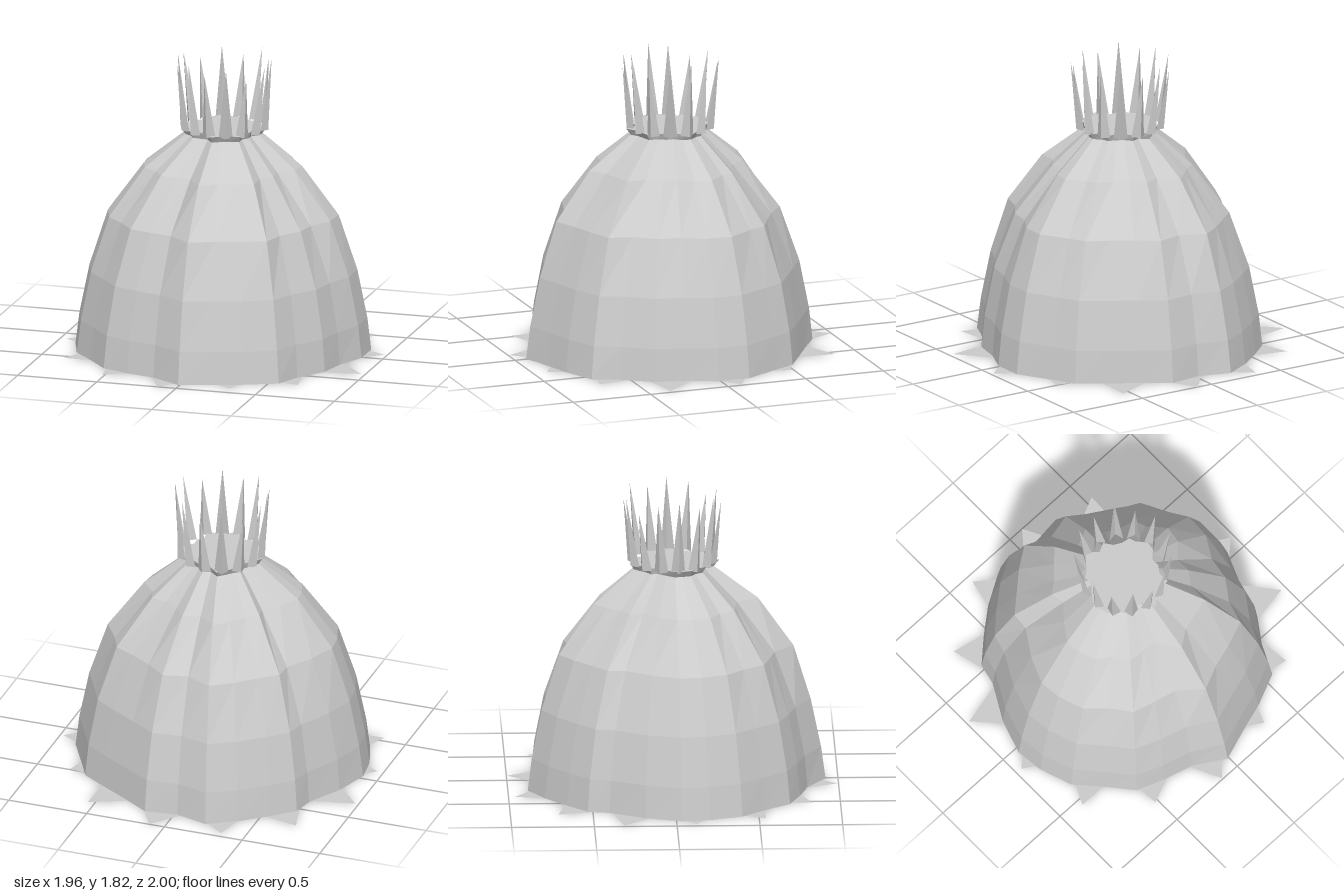
import * as THREE from 'three';

// Pleated outline of the dome at ground level, as [x, z] pairs
const outline = [
  [-0.22, -0.88], [-0.02, -0.825], [0.18, -0.85], [0.35, -0.74], [0.53, -0.63], [0.68, -0.535], [0.75, -0.4],
  [0.87, -0.185], [0.87, 0.015], [0.79, 0.2], [0.75, 0.38], [0.63, 0.555], [0.56, 0.715], [0.36, 0.805],
  [0.18, 0.86], [-0.01, 0.925], [-0.2, 0.81], [-0.38, 0.76], [-0.55, 0.695], [-0.68, 0.54], [-0.81, 0.4],
  [-0.88, 0.2], [-0.9, 0.03], [-0.83, -0.185], [-0.71, -0.4], [-0.68, -0.53], [-0.55, -0.65], [-0.39, -0.78],
];
const count = outline.length;
const meanRadius = 0.864;

// Tips of the flat star under the dome; the crown repeats the same directions
const starTips = [
  [-0.35, -0.96], [0.1, -1], [0.545, -0.86], [0.79, -0.49], [0.98, -0.095], [0.97, 0.36], [0.68, 0.71],
  [0.31, 0.91], [-0.12, 0.995], [-0.52, 0.83], [-0.85, 0.54], [-0.96, 0.12], [-0.98, -0.32], [-0.74, -0.71],
];

// One ring of the dome: mean radius, pleat depth (1 = as at ground level), height
const ring = (radius, pleat, y) => outline.map(([x, z]) => {
  const r = Math.hypot(x, z);
  const scale = (radius + pleat * (r - meanRadius)) / r;
  return new THREE.Vector3(x * scale, y, z * scale);
});

function fromTriangles(points) {
  const geometry = new THREE.BufferGeometry().setFromPoints(points);
  geometry.computeVertexNormals(); // unshared corners give flat facets
  return geometry;
}

// Faceted skin through a stack of rings
function loft(rings) {
  const points = [];
  for (let r = 0; r < rings.length - 1; r++) {
    for (let i = 0; i < count; i++) {
      const j = (i + 1) % count;
      const [a, b, c, d] = [rings[r][i], rings[r][j], rings[r + 1][i], rings[r + 1][j]];
      points.push(a, c, b, b, c, d);
    }
  }
  return fromTriangles(points);
}

// Flat horizontal plate from [x, z] pairs
function plate(pairs, y) {
  const shape = new THREE.Shape(pairs.map(([x, z]) => new THREE.Vector2(x, -z)));
  return new THREE.ShapeGeometry(shape).rotateX(-Math.PI / 2).translate(0, y, 0);
}

const polar = (angle, radius, y) => new THREE.Vector3(Math.cos(angle) * radius, y, Math.sin(angle) * radius);

// Folded blade on the rim: two tall triangles meeting at an outer fold
function spike(angle, footRadius, halfAngle, tip) {
  const [left, fold, right] = [-1, 0, 1].map((k) => (
    polar(angle + k * halfAngle, footRadius + (k ? -0.01 : 0.025), 1.37)
  ));
  return fromTriangles([left, tip, fold, fold, tip, right]);
}

export function createModel() {
  const model = new THREE.Group();
  const grey = new THREE.MeshStandardMaterial({ color: 0xcccccc, side: THREE.DoubleSide, flatShading: true });
  grey.name = 'light grey';
  const add = (name, geometry, parent = model) => {
    const mesh = new THREE.Mesh(geometry, grey);
    mesh.name = name;
    parent.add(mesh);
  };

  // Dome of pleated panels: mean radius, pleat depth, height
  const profile = [
    [0.864, 1, 0], [0.843, 0.9, 0.2], [0.784, 0.85, 0.5], [0.664, 1.1, 0.84], [0.438, 1.3, 1.14], [0.215, 0.6, 1.34],
  ];
  const rings = profile.map((row) => ring(...row));
  add('dome', loft(rings));

  // Flared collar closed by a flat lid
  const rim = ring(0.235, 0.75, 1.38);
  add('collar', loft([rings[rings.length - 1], rim]));
  add('collarLid', plate(rim.map((p) => [p.x, p.z]), 1.38));

  // Crown: a tall spike in each star direction
  const crown = new THREE.Group();
  crown.name = 'crown';
  model.add(crown);
  const heights = [1.8, 1.76, 1.82, 1.78, 1.82, 1.8, 1.74];
  starTips.forEach(([x, z], i) => {
    const tip = new THREE.Vector3(x * 0.295, heights[i % heights.length], z * 0.295);
    add('spike', spike(Math.atan2(z, x), 0.245, 0.18, tip), crown);
  });

  // Flat star base with a valley between neighbouring tips
  const star = starTips.flatMap((tip, i) => {
    const next = starTips[(i + 1) % starTips.length];
    const x = tip[0] + next[0], z = tip[1] + next[1];
    const scale = 0.765 / Math.hypot(x, z);
    return [tip, [x * scale, z * scale]];
  });
  add('starBase', plate(star, 0));
  // Underside of the dome
  add('domeFloor', plate(outline, 0.002));

  return model;
}
